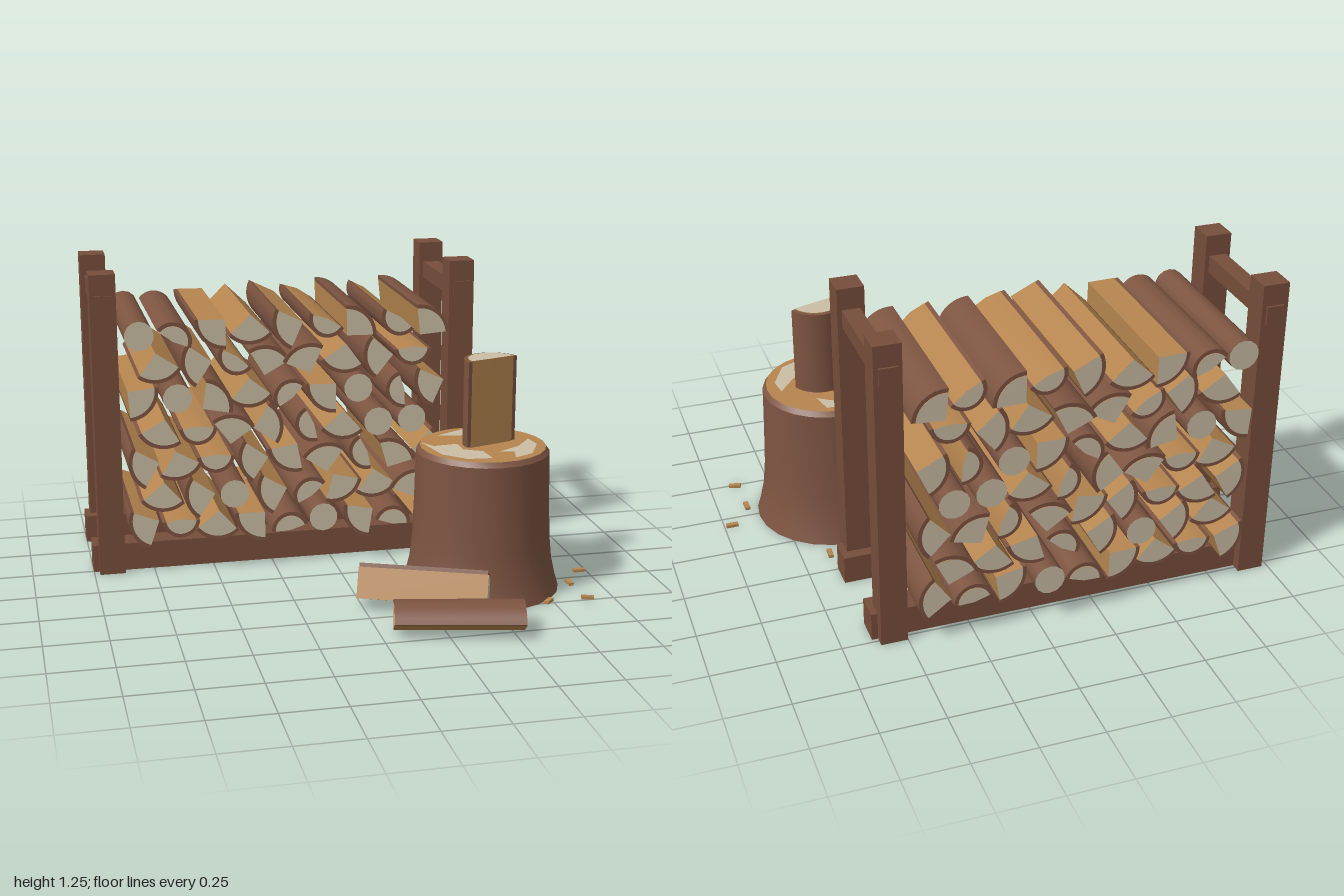
import * as THREE from 'three';
import { toCreasedNormals } from 'three/addons/utils/BufferGeometryUtils.js';

const material = (name, color) => Object.assign(new THREE.MeshStandardMaterial({ color }), { name });
const bark = material('bark', 0x7d5441);
const frame = material('frameWood', 0x774e3b);
const split = material('splitWood', 0xb5854f);
const grain = material('endGrain', 0xcabda5);

const BARK = 0.016;
const rad = THREE.MathUtils.degToRad;

let seed = 7;
const jitter = (amount) => {
  seed = (seed * 16807) % 2147483647;
  return (seed / 2147483647 - 0.5) * 2 * amount;
};

function add(parent, name, geometry, mat, x = 0, y = 0, z = 0) {
  const mesh = new THREE.Mesh(geometry, mat);
  mesh.name = name;
  mesh.position.set(x, y, z);
  parent.add(mesh);
  return mesh;
}

// Extrudes an outline along z, centred on z = 0, smooth over the curves
function prism(shape, length) {
  const geometry = new THREE.ExtrudeGeometry(shape, { depth: length, bevelEnabled: false, curveSegments: 10 });
  geometry.translate(0, 0, -length / 2);
  return toCreasedNormals(geometry, 0.6);
}

// Split log: a sector of wood with bark round its arc; mid is the bark's direction
function splitLog(r, mid, half, length) {
  const log = new THREE.Group();
  const a = rad(mid - half), b = rad(mid + half), inner = r - BARK;
  const wood = new THREE.Shape();
  wood.moveTo(0, 0);
  wood.lineTo(inner * Math.cos(a), inner * Math.sin(a));
  wood.absarc(0, 0, inner, a, b, false);
  wood.closePath();
  const skin = new THREE.Shape();
  skin.absarc(0, 0, r, a, b, false);
  skin.absarc(0, 0, inner, b, a, true);
  skin.closePath();
  add(log, 'splitWood', prism(wood, length), [grain, split]);
  add(log, 'bark', prism(skin, length - 0.006), bark);
  return log;
}

function roundLog(r, length) {
  const log = new THREE.Group();
  const geometry = new THREE.CylinderGeometry(r, r, length, 14).rotateX(Math.PI / 2);
  add(log, 'roundWood', geometry, [bark, grain, grain]);
  return log;
}

function buildRack() {
  const rack = new THREE.Group();
  rack.name = 'rack';
  for (const z of [-0.295, -0.68])
    add(rack, 'runner', new THREE.BoxGeometry(1.63, 0.115, 0.11), frame, -0.185, 0.0575, z);
  for (const x of [-0.925, 0.553]) {
    for (const z of [-0.253, -0.725])
      add(rack, 'post', new THREE.BoxGeometry(0.105, 1.255, 0.105), frame, x, 0.6275, z);
    add(rack, 'crossBar', new THREE.BoxGeometry(0.07, 0.07, 0.594), frame, x, 1.135, -0.49);
  }
  return rack;
}

// Rows from the bottom: q quarter, h half, r round, with the bark's direction in degrees
const ROWS = [
  'q205 h270 q265 q225 h100 r q215 h80 q10',
  'q265 q190 r q195 h125 q300 q280 q110',
  'q195 q285 h270 q190 q235 q100 h200 q60 q0',
  'q255 h270 q80 q10 h200 q265 r r',
  'q320 r q35 q275 h130 q225 r h190 q200',
  'q280 q190 h235 q75 q110 q260 q185 h270',
  'r h60 q225 q270 q200 h245 q45 h235 q50',
];

function buildLogs() {
  const stack = new THREE.Group();
  stack.name = 'logStack';
  ROWS.forEach((row, j) => {
    row.split(' ').forEach((token, i) => {
      const kind = token[0], mid = Number(token.slice(1));
      const length = 0.66 + jitter(0.025);
      let log, offset = 0;
      if (kind === 'r') {
        log = roundLog(0.06, length);
      } else {
        const r = kind === 'q' ? 0.125 : 0.079;
        offset = r * (kind === 'q' ? 0.53 : 0.45);
        log = splitLog(r, mid, kind === 'q' ? 46 : 82, length);
      }
      log.name = 'log';
      log.position.set(
        -0.79 + (j % 2) * 0.075 + i * 0.15 - offset * Math.cos(rad(mid)),
        0.19 + j * 0.137 - offset * Math.sin(rad(mid)) + jitter(0.008),
        -0.49 + jitter(0.02));
      stack.add(log);
    });
  });
  return stack;
}

function buildStump() {
  const stump = new THREE.Group();
  stump.name = 'choppingStump';
  stump.position.set(0.525, 0, 0.228);
  const profile = [[0, 0], [0.318, 0], [0.303, 0.05], [0.287, 0.12], [0.277, 0.22], [0.271, 0.38], [0.266, 0.57], [0.25, 0.59]]
    .map(([r, y]) => new THREE.Vector2(r, y));
  add(stump, 'stumpBark', toCreasedNormals(new THREE.LatheGeometry(profile, 24), 0.6), bark);
  add(stump, 'stumpTop', new THREE.CircleGeometry(0.252, 24).rotateX(-Math.PI / 2), split, 0, 0.59, 0);

  // Pale worn patches on the cut face, seen from above
  const patches = [
    [[-0.235, 0.07], [-0.2, 0.01], [-0.1, 0.02], [-0.1, -0.06], [-0.03, -0.1], [-0.02, -0.2], [-0.12, -0.19], [-0.2, -0.11]],
    [[-0.15, 0.15], [-0.06, 0.13], [0.02, 0.17], [0.08, 0.13], [0.06, 0.22], [-0.02, 0.22]],
    [[0.2, 0.03], [0.21, -0.05], [0.15, -0.17], [0.07, -0.21], [0.09, -0.13], [0.03, -0.12], [0.13, -0.06]],
  ];
  for (const points of patches) {
    const shape = new THREE.Shape(points.map(([x, y]) => new THREE.Vector2(x, y)));
    const geometry = new THREE.ShapeGeometry(shape).rotateX(-Math.PI / 2);
    add(stump, 'wornPatch', geometry, grain, 0, 0.593, 0).material.side = THREE.DoubleSide;
  }
  return stump;
}

export function createModel() {
  const model = new THREE.Group();
  model.add(buildRack(), buildLogs(), buildStump());

  // Half log standing on the stump
  const standing = splitLog(0.115, 108, 89, 0.352);
  standing.name = 'standingLog';
  standing.rotation.x = -Math.PI / 2;
  standing.position.set(0.555, 0.769, 0.246);
  model.add(standing);

  // Two split logs lying in front of the stump
  const leaning = splitLog(0.14, 22, 44, 0.51);
  leaning.name = 'fallenLog';
  leaning.rotation.y = 1.17;
  leaning.position.set(0.2, 0.054, 0.515);
  const fallen = splitLog(0.118, 98, 50, 0.5);
  fallen.name = 'fallenLog';
  fallen.rotation.y = 1.353;
  fallen.position.set(0.302, 0.002, 0.69);
  model.add(leaning, fallen);

  // Wood chips: x, z, turn
  const chips = [[0.136, 0.125, 0.2], [0.17, 0.2, 1.4], [0.635, -0.14, 1.5], [0.968, 0.19, 0], [0.88, 0.315, 1.6], [0.895, 0.487, -0.3], [0.73, 0.49, 0.8]];
  for (const [x, z, turn] of chips)
    add(model, 'woodChip', new THREE.BoxGeometry(0.05, 0.012, 0.02), split, x, 0.006, z).rotation.y = turn;

  return model;
}
